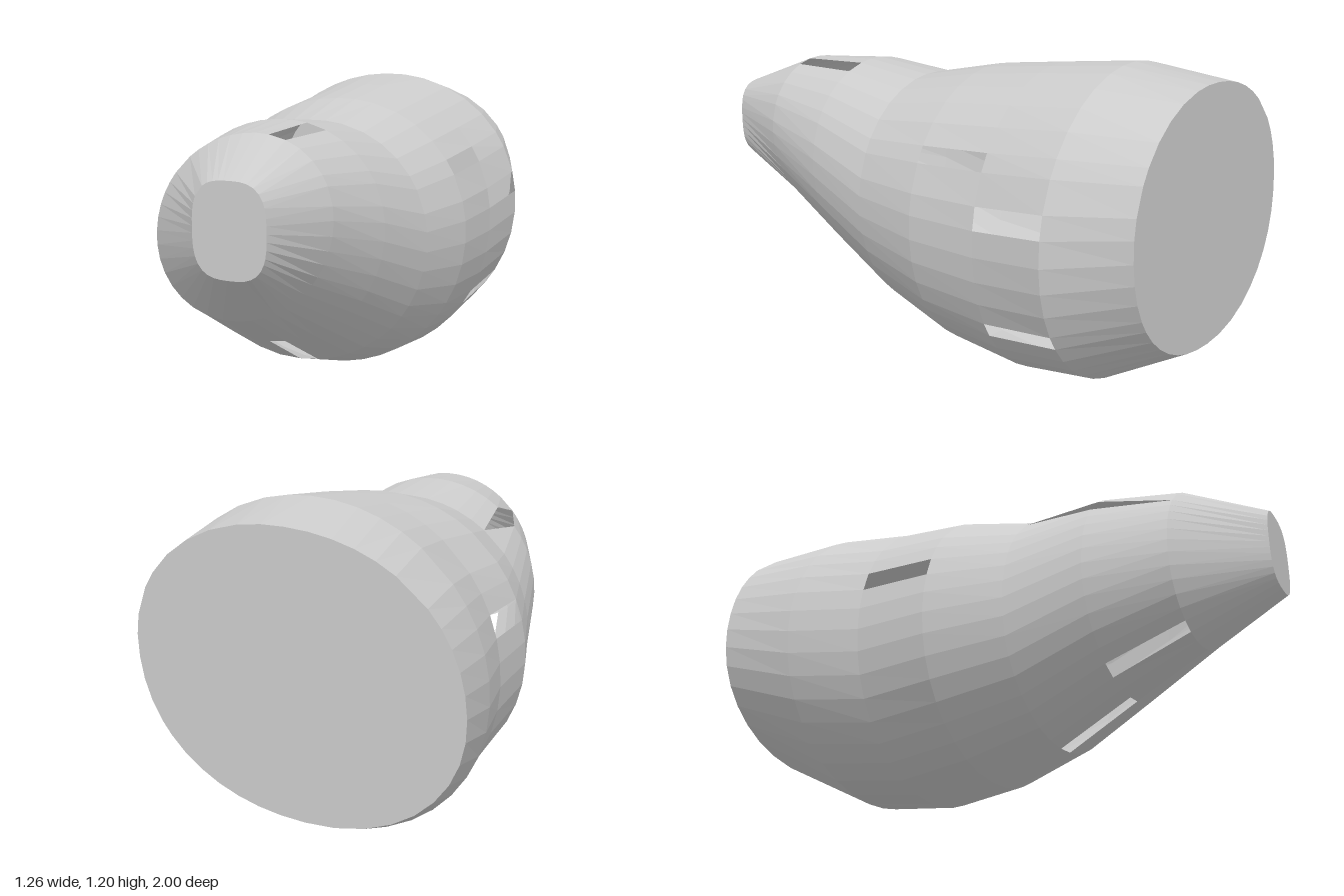
import * as THREE from 'three';

// Cross-sections from nose to tail: z, left, right, bottom, top, squareness, skew
const SECTIONS = [
  [1.0, 0.02, 0.28, 0.665, 0.98, 3.0, 0],
  [0.714, -0.285, 0.375, 0.445, 1.09, 2.1, -0.08],
  [0.429, -0.40, 0.45, 0.29, 1.11, 2.05, -0.045],
  [0.143, -0.465, 0.51, 0.135, 1.08, 2.05, -0.04],
  [-0.143, -0.545, 0.575, 0.04, 1.14, 2.05, -0.03],
  [-0.429, -0.545, 0.595, 0.003, 1.175, 2.05, -0.03],
  [-0.714, -0.605, 0.63, 0.035, 1.205, 2.03, -0.03],
  [-1.0, -0.63, 0.535, 0.185, 1.155, 2.15, -0.05],
];

// Open panels by angle: start, end (degrees), then which triangles of each band are left out
const PANELS = [
  [9.5, 17.5, { 5: 'both' }],
  [28.5, 35, { 4: 'both' }],
  [62.5, 72.5, { 1: 'both' }],
  [129, 144, { 1: 'rear', 2: 'front' }],
  [160, 168.5, { 4: 'both' }],
  [237, 246.4, { 1: 'both' }],
  [267, 276, { 2: 'both' }],
  [326.5, 333, { 5: 'both' }],
];

// Columns around the body: one per panel, with even steps filling the gaps between
const COLUMNS = PANELS.flatMap(([from, to, open], i) => {
  const next = i + 1 < PANELS.length ? PANELS[i + 1][0] : PANELS[0][0] + 360;
  const steps = Math.max(1, Math.round((next - to) / 8.5));
  const filler = Array.from({ length: steps }, (_, s) => (
    { angle: to + ((next - to) * s) / steps, open: {} }
  ));
  return [{ angle: from, open }, ...filler];
});
const SIDES = COLUMNS.length;

function ring([z, x0, x1, y0, y1, n, skew]) {
  return COLUMNS.map(({ angle }) => {
    const t = THREE.MathUtils.degToRad(angle);
    const c = Math.cos(t), s = Math.sin(t);
    const r = (Math.abs(c) ** n + Math.abs(s) ** n) ** (-1 / n) * (1 - skew * Math.sin(2 * t));
    return new THREE.Vector3(
      (x0 + x1) / 2 + ((x1 - x0) / 2) * r * c,
      (y0 + y1) / 2 + ((y1 - y0) / 2) * r * s,
      z
    );
  });
}

function makeMesh(name, points, material) {
  const geometry = new THREE.BufferGeometry().setFromPoints(points);
  geometry.computeVertexNormals();
  const mesh = new THREE.Mesh(geometry, material);
  mesh.name = name;
  return mesh;
}

// Flat end cap, fanned from the middle of a ring
function cap(name, points, front, material) {
  const centre = new THREE.Vector3();
  points.forEach((p) => centre.addScaledVector(p, 1 / SIDES));
  const triangles = points.flatMap((p, j) => {
    const q = points[(j + 1) % SIDES];
    return front ? [centre, p, q] : [centre, q, p];
  });
  return makeMesh(name, triangles, material);
}

export function createModel() {
  const group = new THREE.Group();
  group.name = 'hollowPod';
  const material = new THREE.MeshStandardMaterial({
    color: 0xcccccc, flatShading: true, side: THREE.DoubleSide,
  });
  const rings = SECTIONS.map(ring);

  // Faceted skin between neighbouring rings, leaving out the open panels
  const skin = [];
  for (let i = 0; i < rings.length - 1; i++) {
    COLUMNS.forEach(({ open }, j) => {
      if (open[i] === 'both') return;
      const k = (j + 1) % SIDES;
      const a = rings[i][j], b = rings[i][k], c = rings[i + 1][k], d = rings[i + 1][j];
      if (open[i] !== 'front') skin.push(a, d, b);
      if (open[i] !== 'rear') skin.push(b, d, c);
    });
  }
  group.add(makeMesh('shell', skin, material));

  // Ends
  group.add(cap('noseCap', rings[0], true, material));
  group.add(cap('rearCap', rings[rings.length - 1], false, material));
  return group;
}
